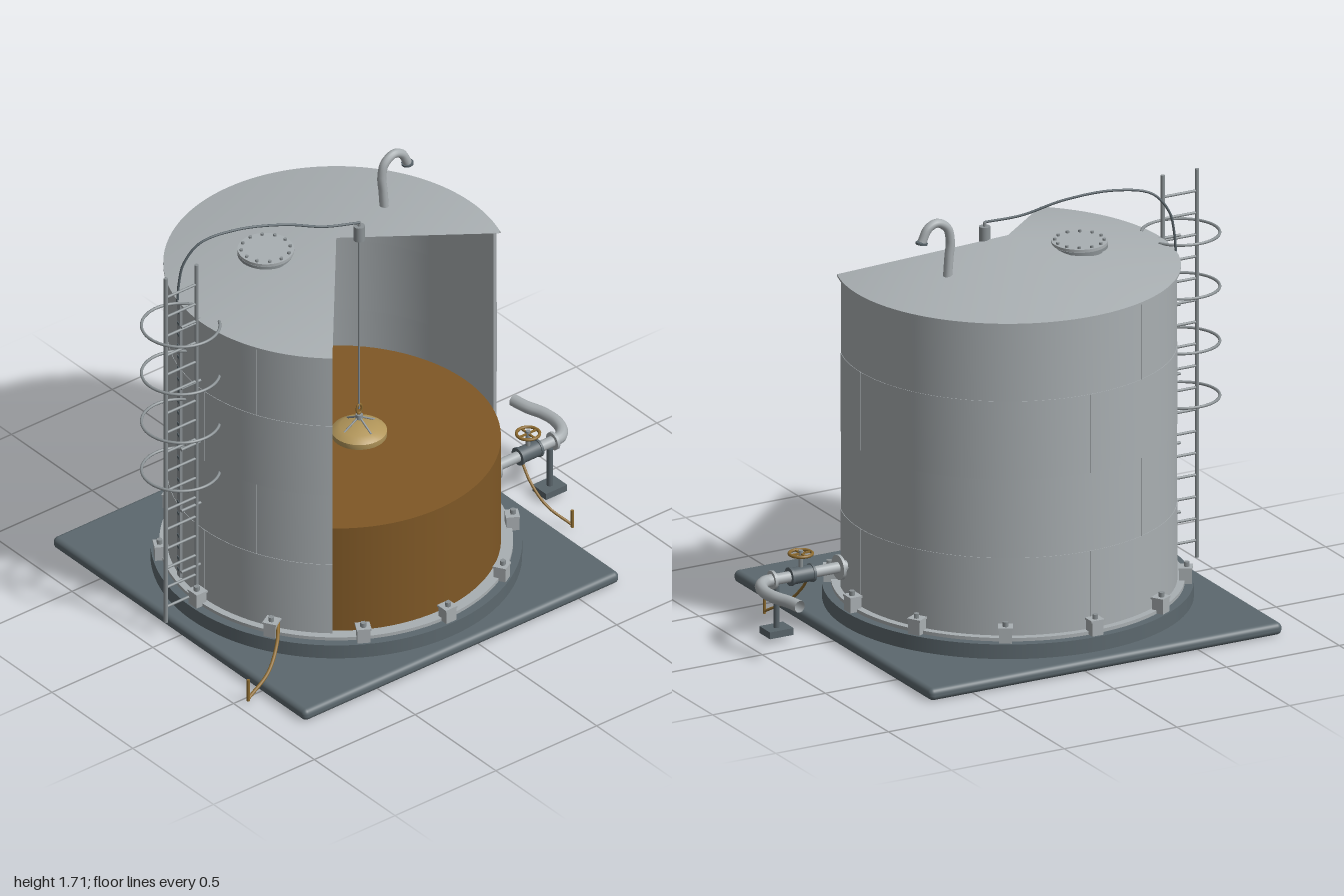
import * as THREE from 'three';
import { toCreasedNormals } from 'three/addons/utils/BufferGeometryUtils.js';
import { RoundedBoxGeometry } from 'three/addons/geometries/RoundedBoxGeometry.js';

const material = (name, color, side = THREE.FrontSide) => {
  const m = new THREE.MeshStandardMaterial({ color, side });
  m.name = name;
  return m;
};
const rad = THREE.MathUtils.degToRad;
const V = (x, y, z) => new THREE.Vector3(x, y, z);

export function createModel() {
  const steel = material('light steel', 0xa9afb2, THREE.DoubleSide);
  const fittings = material('grey fittings', 0x8b9295);
  const valveGrey = material('dark valve steel', 0x59646a);
  const concrete = material('slate foundation', 0x5c686e);
  const liquid = material('brown liquid', 0x7f5826);
  const brass = material('pale brass', 0xb2965a);
  const copper = material('earth cable copper', 0x8d6b30);

  const model = new THREE.Group();
  model.name = 'storageTank';
  const tank = new THREE.Group();
  tank.name = 'tank';
  tank.position.x = -0.09;
  model.add(tank);

  const add = (name, geo, mat, x = 0, y = 0, z = 0, parent = model) => {
    const mesh = new THREE.Mesh(geo, mat);
    mesh.name = name;
    mesh.position.set(x, y, z);
    parent.add(mesh);
    return mesh;
  };
  const box = (w, h, d) => new THREE.BoxGeometry(w, h, d);
  const cyl = (r, h, n = 24, top = r) => new THREE.CylinderGeometry(top, r, h, n);
  const tube = (name, pts, r, mat, parent = model, n = 48) =>
    add(name, new THREE.TubeGeometry(new THREE.CatmullRomCurve3(pts), n, r, 12), mat, 0, 0, 0, parent);
  // straight round bar between two points
  const bar = (name, a, b, r, mat, parent = model) => {
    const m = add(name, cyl(r, a.distanceTo(b), 16), mat, 0, 0, 0, parent);
    m.position.copy(a).add(b).multiplyScalar(0.5);
    m.quaternion.setFromUnitVectors(V(0, 1, 0), b.clone().sub(a).normalize());
    return m;
  };
  // upright curved plate between two angles, measured from +x towards +z
  const arcPlate = (rIn, rOut, from, to, y0, y1, n = 64) => {
    const s = new THREE.Shape();
    s.absarc(0, 0, rOut, rad(from), rad(to), false);
    s.absarc(0, 0, rIn, rad(to), rad(from), true);
    const g = new THREE.ExtrudeGeometry(s, { depth: y1 - y0, bevelEnabled: false, curveSegments: n });
    g.rotateX(Math.PI / 2).translate(0, y1, 0);
    return toCreasedNormals(g, 0.5);
  };

  // Foundation, ring and floor
  add('basePlate', new RoundedBoxGeometry(1.565, 0.05, 1.57, 4, 0.022), concrete, -0.0875, 0.025, -0.005);
  add('foundationRing', cyl(0.72, 0.065, 96), concrete, 0, 0.0775, 0, tank);
  add('tankFloor', cyl(0.685, 0.014, 96), steel, 0, 0.117, 0, tank);
  add('liquid', cyl(0.638, 0.476, 96), liquid, 0, 0.362, 0, tank);

  // Shell: four courses of plates around the cutaway, with staggered joints
  const cutEnd = 130, cutStart = 380, course = 0.3225;
  for (let i = 0; i < 4; i++) {
    const y0 = 0.12 + i * course, r = i % 2 ? 0.654 : 0.656;
    add('shellCourse', arcPlate(0.642, r, cutEnd, cutStart, y0, y0 + course), steel, 0, 0, 0, tank);
    for (let a = i % 2 ? 157 : 180; a < cutStart; a += 45) {
      add('shellJoint', arcPlate(r - 0.002, r + 0.0015, a - 0.25, a + 0.25, y0, y0 + course, 2), steel, 0, 0, 0, tank);
    }
  }

  // Conical roof with the same cutaway
  const roofProfile = [[0, 1.527], [0.67, 1.405], [0.67, 1.413], [0, 1.535]].map(p => new THREE.Vector2(...p));
  add('roof', toCreasedNormals(new THREE.LatheGeometry(roofProfile, 96, rad(70), rad(250)), 0.5), steel, 0, 0, 0, tank);

  // Anchor chairs with bolts
  for (let i = 0; i < 12; i++) {
    const chair = new THREE.Group();
    chair.name = 'anchorChair';
    chair.rotation.y = rad(i * 30);
    tank.add(chair);
    add('chairBody', box(0.05, 0.058, 0.05), steel, 0.688, 0.14, 0, chair);
    add('chairTop', box(0.055, 0.008, 0.058), steel, 0.688, 0.171, 0, chair);
    add('anchorBolt', cyl(0.012, 0.02, 6), fittings, 0.692, 0.184, 0, chair);
  }

  // Roof manhole
  const hatch = new THREE.Group();
  hatch.name = 'roofManhole';
  hatch.position.set(-0.335, 0, -0.13);
  model.add(hatch);
  add('manholeNeck', cyl(0.09, 0.06, 40), fittings, 0, 1.47, 0, hatch);
  add('manholeFlange', cyl(0.11, 0.012, 48), fittings, 0, 1.493, 0, hatch);
  add('manholeCover', cyl(0.11, 0.011, 48), steel, 0, 1.506, 0, hatch);
  for (let i = 0; i < 12; i++) {
    const a = rad(i * 30);
    add('manholeBolt', cyl(0.007, 0.034, 6), fittings, 0.096 * Math.cos(a), 1.503, 0.096 * Math.sin(a), hatch);
  }

  // Gooseneck roof vent
  tube('roofVent', [V(0.248, 1.46, -0.125), V(0.242, 1.54, -0.125), V(0.236, 1.61, -0.125), V(0.25, 1.665, -0.125),
    V(0.295, 1.692, -0.125), V(0.335, 1.675, -0.125), V(0.362, 1.625, -0.125)], 0.018, steel);
  add('ventMouth', cyl(0.024, 0.008), valveGrey, 0.363, 1.621, -0.125).rotation.z = 0.15;

  // Float gauge: guide, wires and float
  const fx = -0.01, fz = 0.042;
  add('wireGuide', cyl(0.022, 0.065), fittings, fx, 1.54, fz);
  add('wireGuideCap', cyl(0.007, 0.02, 12), fittings, fx, 1.58, fz);
  bar('floatWire', V(fx, 0.72, fz), V(fx, 1.52, fz), 0.004, fittings);
  const floatProfile = [[0, 0.59], [0.105, 0.59], [0.108, 0.6], [0.108, 0.622], [0.1, 0.628], [0.075, 0.642], [0, 0.645]];
  add('float', toCreasedNormals(new THREE.LatheGeometry(floatProfile.map(p => new THREE.Vector2(...p)), 40), 0.5),
    brass, fx, 0, fz);
  for (let i = 0; i < 4; i++) {
    const a = rad(i * 90);
    bar('floatBridle', V(fx + 0.075 * Math.cos(a), 0.64, fz + 0.075 * Math.sin(a)), V(fx, 0.685, fz), 0.004, fittings);
  }
  add('floatHub', cyl(0.014, 0.02), fittings, fx, 0.685, fz);
  add('floatEye', new THREE.TorusGeometry(0.013, 0.004, 8, 20), copper, fx, 0.72, fz).scale.y = 1.6;
  const cable = [[-0.01, 1.588], [-0.15, 1.605], [-0.31, 1.655], [-0.5, 1.68], [-0.645, 1.655], [-0.71, 1.575],
    [-0.727, 1.5], [-0.735, 1.4]];
  tube('gaugeCable', cable.map(([x, y]) => V(x, y, 0.045 + (x + 0.01) * 0.31)), 0.005, valveGrey);

  // Gauge board down the outside of the shell
  const gauge = new THREE.Group();
  gauge.name = 'gaugeBoard';
  gauge.rotation.y = rad(165);
  tank.add(gauge);
  add('gaugeStrip', box(0.01, 1.27, 0.028), fittings, 0.662, 0.765, 0, gauge);
  for (let i = 0; i < 24; i++) add('gaugeMark', box(0.004, 0.012, 0.02), valveGrey, 0.668, 0.165 + i * 0.052, 0, gauge);

  // Caged ladder
  const ladder = new THREE.Group();
  ladder.name = 'ladder';
  ladder.position.z = -0.025;
  model.add(ladder);
  for (const x of [-0.915, -0.763]) bar('ladderStile', V(x, 0.07, 0), V(x, 1.67, 0), 0.0085, fittings, ladder);
  for (let i = 0; i < 17; i++) {
    const y = 0.14 + i * 0.09;
    bar('ladderRung', V(-0.915, y, 0), V(-0.763, y, 0), 0.0055, fittings, ladder);
  }
  for (let i = 0; i < 5; i++) {
    const y = 0.27 + i * 0.285;
    bar('ladderBracket', V(-0.84, y, 0), V(-0.715, y, 0), 0.006, fittings, ladder);
  }
  for (const y of [0.75, 0.975, 1.2, 1.422]) {
    const hoop = add('cageHoop', new THREE.TorusGeometry(0.152, 0.006, 8, 56, rad(304)), fittings, -0.842, y, 0, ladder);
    hoop.rotation.set(Math.PI / 2, 0, rad(28));
  }

  // Outlet pipe with flanges, valve and handwheel
  const py = 0.245, pz = 0.132;
  const disc = (name, x, r, w, mat) => {
    add(name, cyl(r, w, 32), mat, x, py, pz).rotation.z = Math.PI / 2;
  };
  bar('outletPipe', V(0.545, py, pz), V(0.88, py, pz), 0.022, steel);
  tube('outletBend', [V(0.875, py, pz), V(0.915, py, 0.128), V(0.952, py, 0.095), V(0.974, py, 0.03), V(0.97, py, -0.045),
    V(0.948, py, -0.115), V(0.937, py, -0.185)], 0.0245, steel);
  disc('wallFlange', 0.585, 0.05, 0.012, steel);
  disc('valveBody', 0.755, 0.033, 0.09, valveGrey);
  for (const x of [0.708, 0.802]) disc('valveFlange', x, 0.037, 0.01, valveGrey);
  disc('bendFlange', 0.88, 0.037, 0.012, steel);
  add('valveStem', cyl(0.009, 0.09, 12), fittings, 0.755, 0.3, pz);
  add('handwheel', new THREE.TorusGeometry(0.045, 0.0065, 10, 32), copper, 0.755, 0.332, pz).rotation.x = Math.PI / 2;
  for (let i = 0; i < 2; i++) {
    add('handwheelSpoke', box(0.086, 0.006, 0.008), copper, 0.755, 0.332, pz).rotation.y = i * Math.PI / 2;
  }
  add('pipeFoot', box(0.105, 0.028, 0.085), valveGrey, 0.863, 0.034, pz);
  add('pipePost', cyl(0.0125, 0.18, 16), valveGrey, 0.863, 0.13, pz);

  // Earthing cables and ground rods
  tube('valveEarthCable', [V(0.715, 0.215, 0.15), V(0.712, 0.16, 0.2), V(0.728, 0.085, 0.28), V(0.78, 0.022, 0.375)],
    0.0055, copper);
  bar('valveGroundRod', V(0.78, 0.012, 0.375), V(0.78, 0.09, 0.375), 0.006, copper);
  tube('tankEarthCable', [V(-0.655, 0.16, 0.345), V(-0.72, 0.125, 0.42), V(-0.82, 0.065, 0.49), V(-0.955, 0.022, 0.535)],
    0.007, copper);
  bar('tankGroundRod', V(-0.955, 0.012, 0.535), V(-0.955, 0.11, 0.535), 0.006, copper);

  return model;
}
